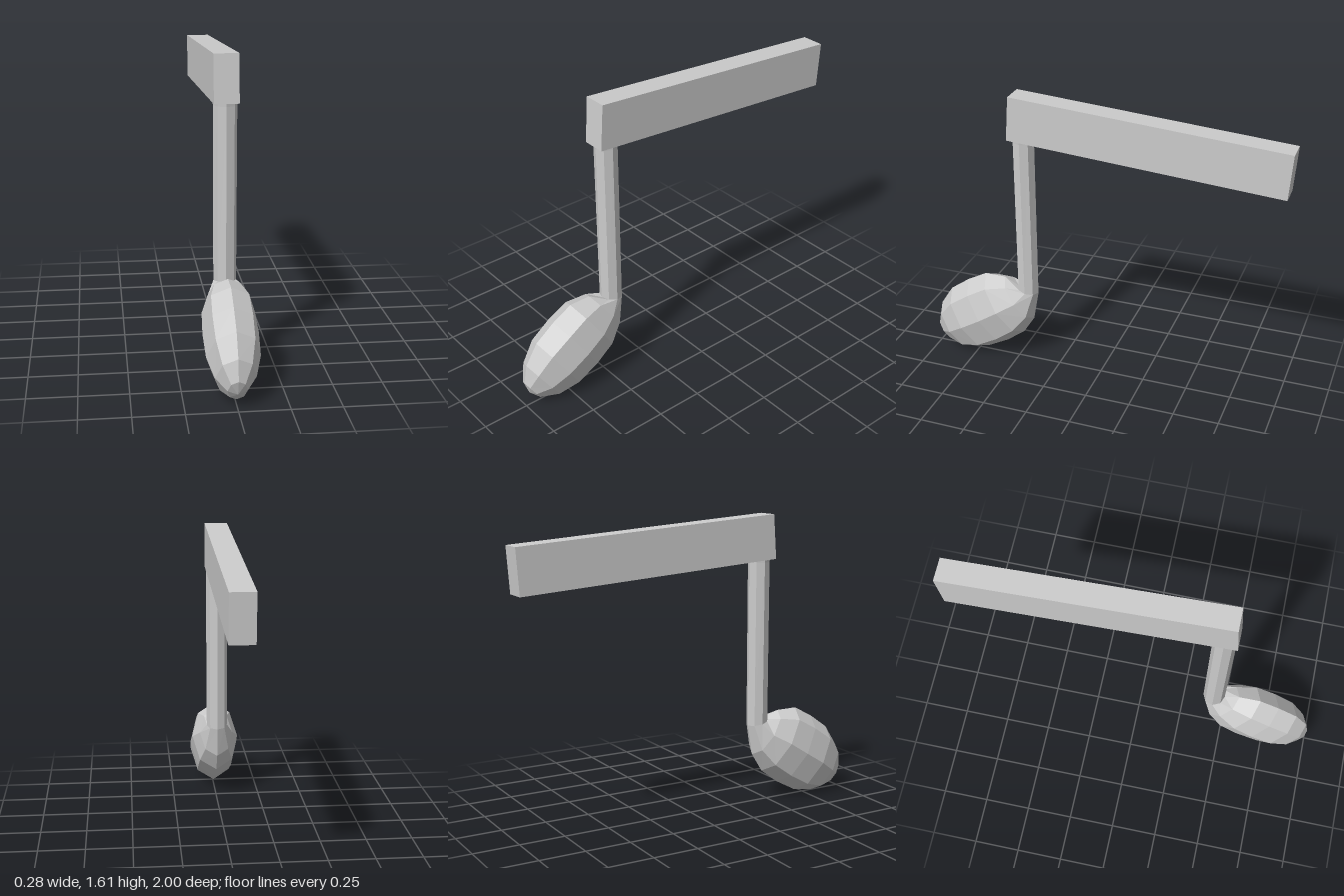
import * as THREE from 'three';

const SIDES = 8;

// Flat-shaded skin through eight-sided rings, each spanning from a back point
// to a front point [z, y] with the given half width in x.
function loft(rings) {
  const point = ({ back, front, halfX }, k) => {
    const a = (k / SIDES) * Math.PI * 2;
    const t = (1 + Math.cos(a)) / 2;
    return [
      halfX * Math.sin(a),
      back[1] + (front[1] - back[1]) * t,
      back[0] + (front[0] - back[0]) * t,
    ];
  };
  const pos = [];
  for (let i = 0; i < rings.length - 1; i++) {
    for (let k = 0; k < SIDES; k++) {
      const a = point(rings[i], k), b = point(rings[i], k + 1);
      const c = point(rings[i + 1], k), d = point(rings[i + 1], k + 1);
      pos.push(...a, ...c, ...b);
      if (rings[i + 1].halfX > 0) pos.push(...b, ...c, ...d);
    }
  }
  const geo = new THREE.BufferGeometry();
  geo.setAttribute('position', new THREE.Float32BufferAttribute(pos, 3));
  geo.computeVertexNormals();
  return geo;
}

export function createModel() {
  const group = new THREE.Group();
  const material = new THREE.MeshStandardMaterial({ color: 0xcccccc, flatShading: true });
  const add = (name, geo) => {
    const mesh = new THREE.Mesh(geo, material);
    mesh.name = name;
    group.add(mesh);
    return mesh;
  };

  // Stem: upright octagonal post, its slanted foot opening into the head
  const foot = { back: [0.37, 0.445], front: [0.49, 0.468], halfX: 0.058 };
  add('stem', loft([
    { back: [0.368, 1.4], front: [0.493, 1.4], halfX: 0.0625 },
    { back: [0.37, 1.355], front: [0.49, 1.355], halfX: 0.06 },
    foot,
  ]));

  // Head: tilted, flattened egg running from the foot down to the front pole
  const section = (back, front) => ({
    back, front,
    halfX: 0.325 * Math.hypot(front[0] - back[0], front[1] - back[1]),
  });
  add('noteHead', loft([
    foot,
    section([0.4, 0.275], [0.57, 0.51]),
    section([0.465, 0.17], [0.69, 0.51]),
    section([0.57, 0.09], [0.8, 0.45]),
    section([0.69, 0.025], [0.91, 0.37]),
    section([0.81, 0.003], [0.98, 0.26]),
    section([0.92, 0.03], [1.0, 0.155]),
    { back: [0.975, 0.08], front: [0.975, 0.08], halfX: 0 },
  ]));

  // Beam: long bar sloping down to the back
  const beam = add('beam', new THREE.BoxGeometry(0.125, 0.242, 1.487));
  beam.position.set(0, 1.441, -0.249);
  beam.rotation.x = -0.07;

  return group;
}
